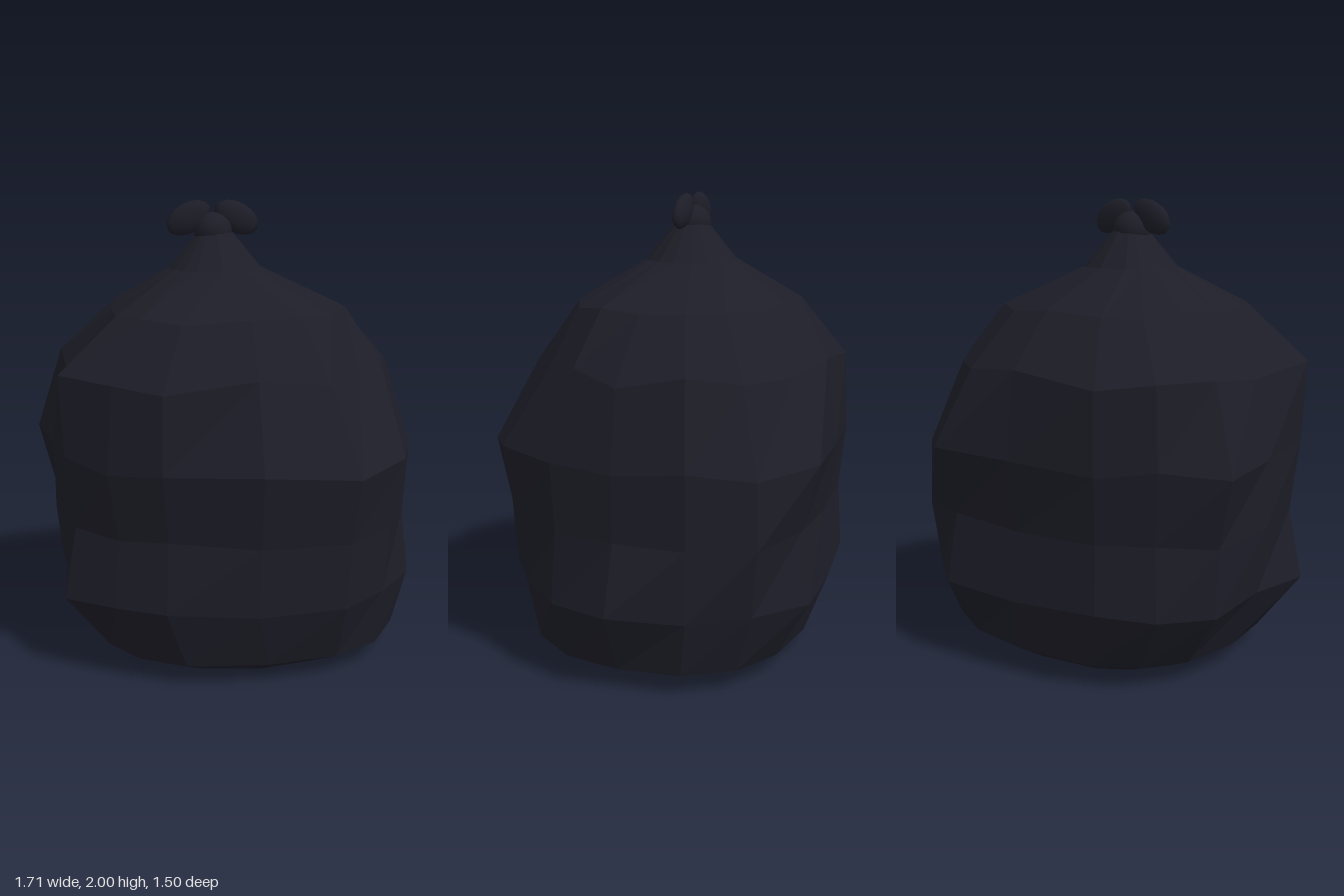
import * as THREE from 'three';

// Column directions around the sack, in degrees from +x towards +z
const ANGLES = [0, 21, 42, 61.5, 90, 121.5, 140, 157, 180, 203, 220.5, 238.5, 271, 298, 318, 337.5]
  .map(THREE.MathUtils.degToRad);
const SIDES = ANGLES.length;

// Radii of a superellipse (power 2 = plain ellipse, higher = boxier)
const oval = (rx, rz, power = 2) => ANGLES.map((a) =>
  (Math.abs(Math.cos(a) / rx) ** power + Math.abs(Math.sin(a) / rz) ** power) ** (-1 / power));

// Each ring: height, centre x, and one radius per column
const RINGS = [
  { y: 0, cx: 0.05, r: oval(0.51, 0.45, 2.2) },
  { y: 0.09, cx: 0.05, r: oval(0.685, 0.6, 2.5) },
  { y: 0.35, cx: 0, wobble: 0.01, r: [0.85, 0.81, 0.77, 0.77, 0.68, 0.73, 0.76, 0.85, 0.76, 0.84, 0.82, 0.75, 0.69, 0.81, 0.81, 0.81] },
  { y: 0.65, cx: 0, wobble: 0.012, r: [0.765, 0.78, 0.8, 0.79, 0.7, 0.7, 0.73, 0.79, 0.8, 0.85, 0.79, 0.73, 0.66, 0.76, 0.85, 0.8] },
  { y: 0.95, cx: 0, wobble: 0.02, r: [0.77, 0.8, 0.855, 0.845, 0.75, 0.75, 0.785, 0.83, 0.8, 0.935, 0.825, 0.76, 0.71, 0.85, 0.84, 0.8] },
  { y: 1.3, cx: 0, wobble: 0.025, r: [0.715, 0.66, 0.63, 0.65, 0.62, 0.74, 0.75, 0.85, 0.73, 0.81, 0.79, 0.745, 0.66, 0.68, 0.69, 0.7] },
  { y: 1.54, cx: 0, wobble: 0.01, r: [0.49, 0.5, 0.5, 0.465, 0.475, 0.55, 0.575, 0.575, 0.53, 0.55, 0.55, 0.53, 0.46, 0.48, 0.5, 0.5] },
  { y: 1.71, cx: -0.075, r: oval(0.205, 0.205) },
  { y: 1.87, cx: -0.075, r: oval(0.07, 0.075) },
];

// Crumpled sack lofted through the rings, with flat facets
function sackGeometry() {
  const pos = [];
  const index = [];
  RINGS.forEach(({ y, cx, r, wobble = 0 }, j) => {
    ANGLES.forEach((a, i) => {
      pos.push(cx + r[i] * Math.cos(a), y + wobble * Math.sin(i * 2.3 + j), r[i] * Math.sin(a));
    });
  });
  const last = RINGS.length - 1;
  const bottom = RINGS.length * SIDES;
  const top = bottom + 1;
  pos.push(RINGS[0].cx, 0, 0, RINGS[last].cx, RINGS[last].y, 0);
  for (let i = 0; i < SIDES; i++) {
    const n = (i + 1) % SIDES;
    for (let j = 0; j < last; j++) {
      const a = j * SIDES + i, b = j * SIDES + n;
      index.push(a, a + SIDES, b, b, a + SIDES, b + SIDES);
    }
    index.push(bottom, i, n, top, last * SIDES + n, last * SIDES + i);
  }
  const indexed = new THREE.BufferGeometry();
  indexed.setAttribute('position', new THREE.Float32BufferAttribute(pos, 3));
  indexed.setIndex(index);
  const geo = indexed.toNonIndexed();
  geo.computeVertexNormals();
  return geo;
}

export function createModel() {
  const group = new THREE.Group();
  const plastic = new THREE.MeshStandardMaterial({ color: 0x1d1d28 });
  plastic.name = 'dark plastic';

  const add = (name, geo) => {
    const mesh = new THREE.Mesh(geo, plastic);
    mesh.name = name;
    group.add(mesh);
    return mesh;
  };

  add('sack', sackGeometry());

  // Tied knot and its two loops
  const knot = add('knot', new THREE.SphereGeometry(1, 16, 12));
  knot.scale.set(0.085, 0.08, 0.085);
  knot.position.set(-0.083, 1.868, 0);

  for (const side of [-1, 1]) {
    const ear = add(side > 0 ? 'leftLoop' : 'rightLoop', new THREE.SphereGeometry(1, 10, 8));
    ear.scale.set(0.105, 0.065, 0.033);
    ear.rotation.z = -side * 0.5;
    ear.position.set(-0.083 + side * 0.105, 1.924, 0);
  }
  return group;
}
